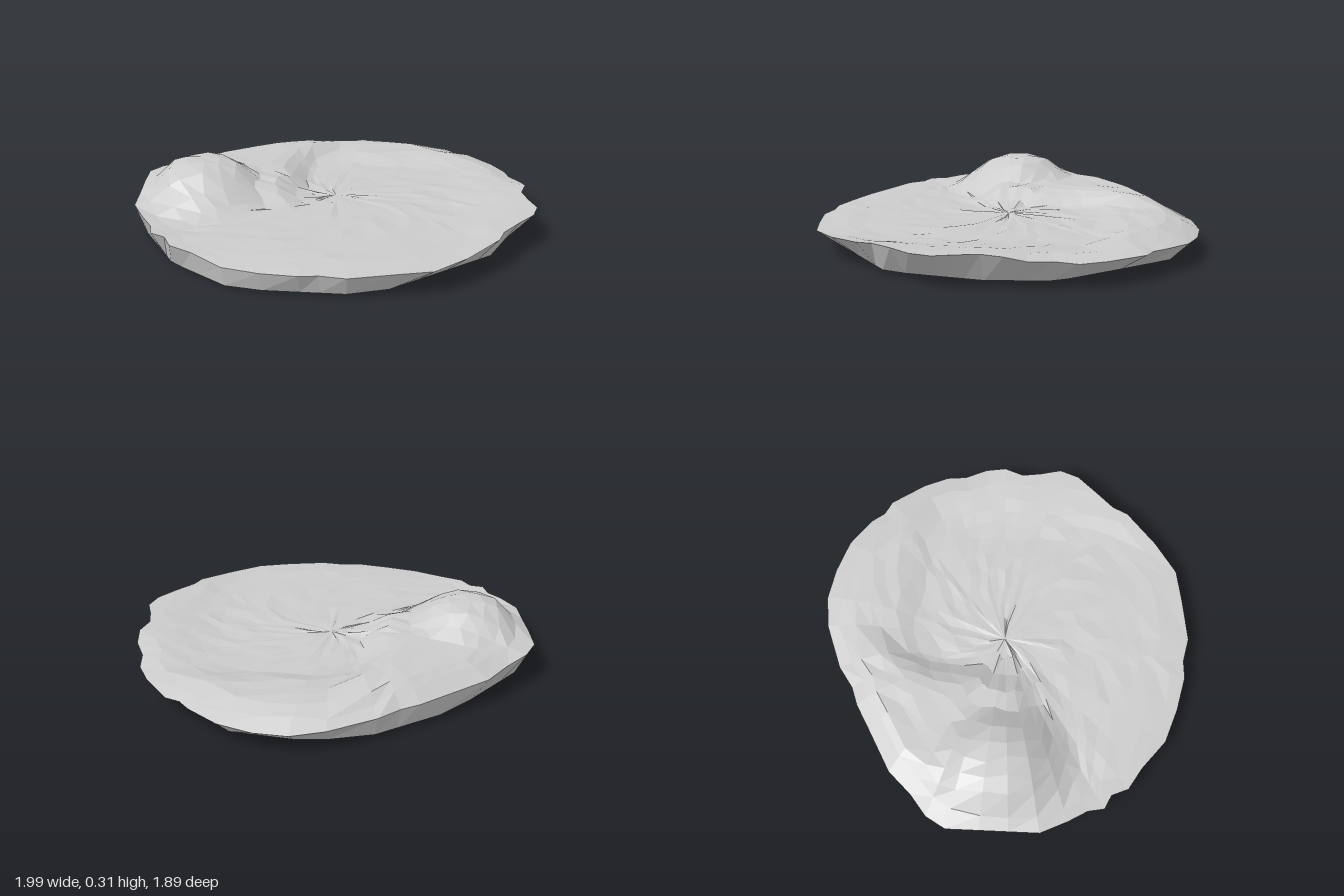
import * as THREE from 'three';

// rim of the island, clockwise from the back: x, z, height
const RIM = [
  [0.14, -0.95, 0.10], [0.30, -0.93, 0.10], [0.46, -0.88, 0.11], [0.60, -0.78, 0.12], [0.65, -0.72, 0.12],
  [0.72, -0.69, 0.12], [0.84, -0.53, 0.12], [0.90, -0.41, 0.12], [0.91, -0.31, 0.13], [0.96, -0.20, 0.14],
  [0.97, -0.10, 0.16], [0.94, 0.00, 0.16], [0.96, 0.10, 0.16], [0.99, 0.20, 0.16], [0.96, 0.30, 0.16],
  [0.88, 0.40, 0.16], [0.80, 0.50, 0.155], [0.77, 0.58, 0.15], [0.62, 0.74, 0.13], [0.47, 0.86, 0.12],
  [0.30, 0.90, 0.12], [0.10, 0.94, 0.115], [-0.02, 0.92, 0.115], [-0.11, 0.93, 0.115], [-0.28, 0.90, 0.11],
  [-0.45, 0.85, 0.11], [-0.60, 0.74, 0.125], [-0.71, 0.68, 0.13], [-0.75, 0.60, 0.135], [-0.82, 0.57, 0.14],
  [-0.84, 0.49, 0.14], [-0.90, 0.40, 0.15], [-0.97, 0.27, 0.155], [-0.98, 0.12, 0.16], [-0.99, -0.02, 0.17],
  [-1.00, -0.18, 0.17], [-0.95, -0.28, 0.165], [-0.85, -0.37, 0.15], [-0.75, -0.49, 0.14], [-0.55, -0.62, 0.13],
  [-0.43, -0.70, 0.125], [-0.34, -0.74, 0.12], [-0.24, -0.82, 0.12], [-0.02, -0.92, 0.11],
];
// corners of the flat underside, same direction
const BASE = [[0.42, -0.80], [0.82, -0.31], [0.85, 0.0], [0.77, 0.45], [0.2, 0.90], [-0.40, 0.86],
  [-0.72, 0.6], [-0.94, 0.22], [-0.93, -0.15], [-0.58, -0.56], [-0.17, -0.82], [0.1, -0.85]];

const step = THREE.MathUtils.smoothstep;
const lerp = THREE.MathUtils.lerp;
const noise = (a, b) => {
  const s = Math.sin(a * 127.1 + b * 311.7) * 43758.5453;
  return (s - Math.floor(s)) * 2 - 1;
};

// height of the ground before it is blended into the rim
function ground(x, z) {
  let h = 0.125 + 0.03 * step(x, 0.55, 0.9);
  // low shelf along the back
  h = Math.max(h, 0.125 + 0.04 * step(-z, 0.42, 0.6));
  // plateau with a steep edge facing the basin
  const edge = z > -0.35 ? -0.2 : -0.2 + (-0.35 - z) * 0.55;
  const plateau = step(edge - x, -0.06, 0.1) * step(z, -0.85, -0.66) * (1 - step(z, 0.0, 0.3));
  h = Math.max(h, 0.125 + 0.078 * plateau);
  // rounded hill on the right
  const d = Math.hypot((x + 0.68) / 0.42, (z - 0.02) / (z > 0.02 ? 0.42 : 0.4));
  return Math.max(h, 0.125 + 0.187 * (1 - step(d, 0.22, 1.05)));
}

// point of the underside outline straight inward from a rim point
function basePoint([x, z]) {
  for (let i = 0; i < BASE.length; i++) {
    const [ax, az] = BASE[i], [bx, bz] = BASE[(i + 1) % BASE.length];
    const ex = bx - ax, ez = bz - az, det = x * ez - z * ex;
    const t = (ax * ez - az * ex) / det, u = (ax * z - az * x) / det;
    if (t > 0 && u >= 0 && u <= 1) return baseAt(x * Math.min(t, 0.99), z * Math.min(t, 0.99));
  }
  return baseAt(x * 0.9, z * 0.9);
}
const baseAt = (x, z) => [x, Math.max(0, 0.011 + 0.011 * x + 0.008 * z * z), z];

// flat-shaded skin between successive rings of points
function skin(name, rings) {
  const pos = [], idx = [], n = RIM.length;
  rings.forEach((ring) => ring.forEach((p) => pos.push(...p)));
  for (let r = 0; r < rings.length - 1; r++) {
    for (let i = 0; i < n; i++) {
      const j = (i + 1) % n, a = r * n, b = a + n;
      idx.push(a + i, b + j, b + i, a + i, a + j, b + j);
    }
  }
  const geo = new THREE.BufferGeometry();
  geo.setAttribute('position', new THREE.Float32BufferAttribute(pos, 3));
  geo.setIndex(idx);
  geo.computeVertexNormals();
  const mesh = new THREE.Mesh(geo, new THREE.MeshStandardMaterial({ color: 0xcccccc, flatShading: true }));
  mesh.name = name;
  return mesh;
}

export function createModel() {
  const group = new THREE.Group();
  group.name = 'island';

  // hilly top, denser toward the rim
  const scales = [0, 0.1, 0.2, 0.3, 0.4, 0.5, 0.59, 0.68, 0.76, 0.84, 0.92, 1];
  const top = scales.map((s, r) => RIM.map(([x, z, y], i) => {
    if (s === 0) return [0, ground(0, 0), 0];
    if (s === 1) return [x, y, z];
    const k = s + 0.02 * noise(i, r);
    const px = x * k, pz = z * k;
    const h = ground(px, pz) + 0.004 * noise(r + 7, i);
    return [px, lerp(h, y, step(k, 0.84, 1.02)), pz];
  }));
  group.add(skin('terrain', top));

  // sloping side and flat underside
  const foot = RIM.map(basePoint);
  group.add(skin('sideWall', [RIM.map(([x, z, y]) => [x, y, z]), foot]));
  group.add(skin('underside', [foot, RIM.map(() => baseAt(0, 0))]));
  return group;
}
